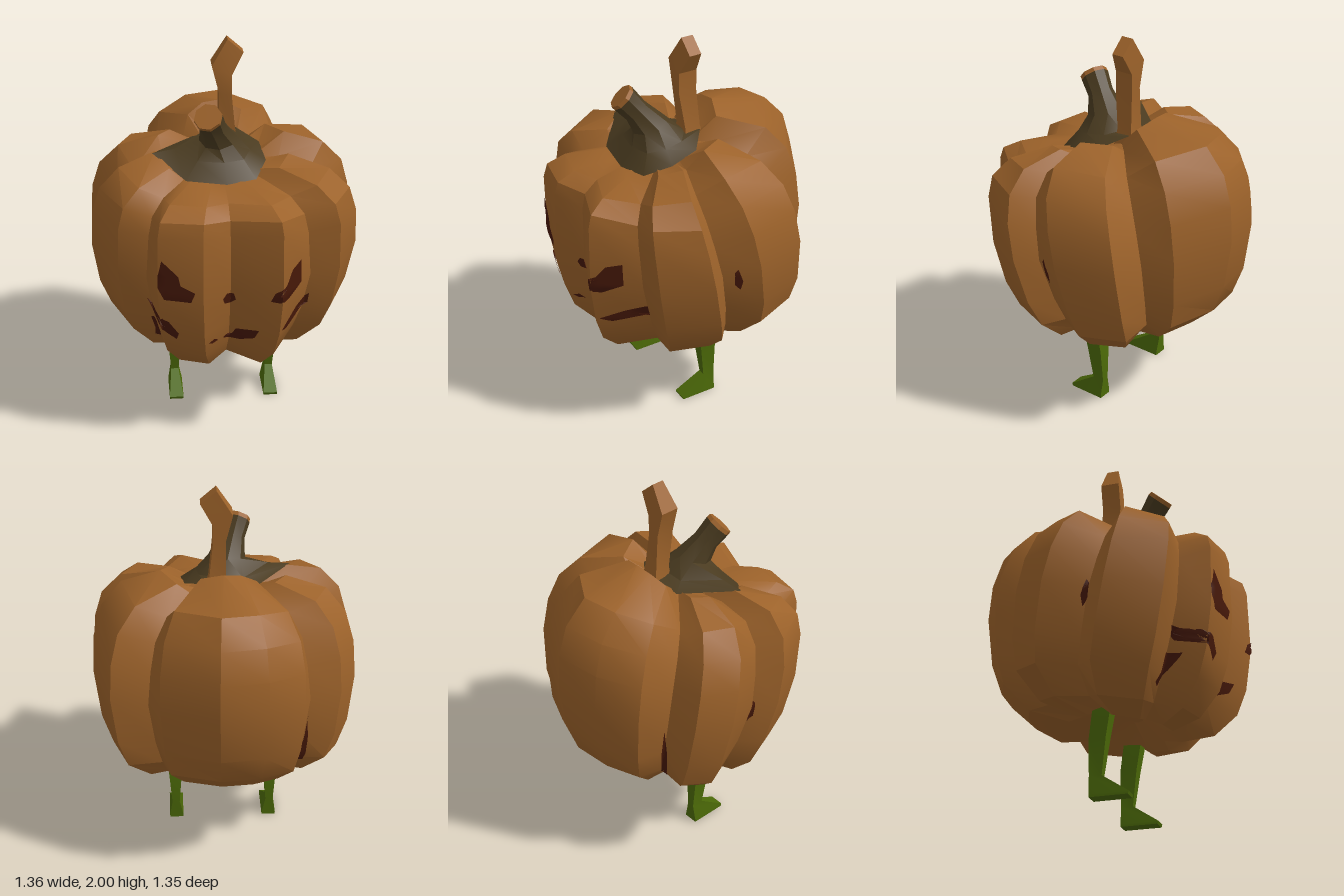
import * as THREE from 'three';
import { toCreasedNormals } from 'three/addons/utils/BufferGeometryUtils.js';

const V = (x, y, z) => new THREE.Vector3(x, y, z);
const mat = (name, color, side = THREE.FrontSide) => {
  const m = new THREE.MeshStandardMaterial({ color, side });
  m.name = name;
  return m;
};

// Joins loops (clockwise from above, bottom to top) into a skin with fan caps.
function skin(loops, capBottom, capTop, crease = 0.5) {
  const pos = [];
  const tri = (...ps) => ps.forEach((p) => pos.push(p.x, p.y, p.z));
  const n = loops[0].length;
  const mid = (l) => l.reduce((s, p) => s.add(p), V(0, 0, 0)).divideScalar(n);
  for (let i = 0; i < loops.length - 1; i++) {
    for (let j = 0; j < n; j++) {
      const k = (j + 1) % n;
      const a = loops[i][j], b = loops[i][k], c = loops[i + 1][k], d = loops[i + 1][j];
      tri(a, d, c);
      tri(a, c, b);
    }
  }
  const first = loops[0], last = loops[loops.length - 1];
  const m0 = mid(first), m1 = mid(last);
  for (let j = 0; j < n; j++) {
    const k = (j + 1) % n;
    if (capBottom) tri(m0, first[j], first[k]);
    if (capTop) tri(m1, last[k], last[j]);
  }
  const g = new THREE.BufferGeometry();
  g.setAttribute('position', new THREE.Float32BufferAttribute(pos, 3));
  return toCreasedNormals(g, crease);
}

// Four-sided limb from rows: left x, left y, right x, right y, back z, front z.
const limb = (rows) => skin(rows.map(([xl, yl, xr, yr, z0, z1]) =>
  [V(xl, yl, z0), V(xr, yr, z0), V(xr, yr, z1), V(xl, yl, z1)]), true, true, 0.3);

// Widest outline of the ribs: x, z, top height, 1 for a groove.
const OUTLINE = [
  [-0.39, -0.52, 1.55, 0], [-0.2, -0.64, 1.6, 0], [0.04, -0.675, 1.61, 0], [0.33, -0.53, 1.57, 0],
  [0.39, -0.37, 1.45, 1], [0.58, -0.355, 1.51, 0], [0.675, -0.05, 1.52, 0],
  [0.59, 0.13, 1.42, 1], [0.68, 0.22, 1.45, 0], [0.56, 0.46, 1.42, 0],
  [0.41, 0.475, 1.36, 1], [0.25, 0.67, 1.37, 0], [0, 0.58, 1.36, 1], [-0.14, 0.66, 1.37, 0],
  [-0.36, 0.61, 1.38, 0], [-0.41, 0.46, 1.37, 1], [-0.55, 0.43, 1.43, 0], [-0.68, 0.17, 1.48, 0],
  [-0.6, 0.07, 1.42, 1], [-0.68, -0.15, 1.5, 0], [-0.59, -0.32, 1.5, 0], [-0.43, -0.35, 1.45, 1],
];
// Rib profile between the hollows: spread from the axis, relative height.
const PROFILE = [
  [0.42, 0], [0.68, 0.04], [0.87, 0.16], [0.95, 0.3], [1, 0.53],
  [0.985, 0.7], [0.92, 0.84], [0.77, 0.945],
];

function bodyGeometry() {
  const at = (x, y, z, s) => {
    // Side ribs lean back towards the bottom
    const lean = 0.22 * (y - 1.05) * (1 - (z / 0.68) ** 2) * Math.min(1, s * s * 1.5);
    return V(-0.02 + (x + 0.02) * s, y, 0.08 + (z - 0.08) * s + lean);
  };
  const loops = PROFILE.map(([s, h]) => OUTLINE.map(([x, z, top, groove]) => {
    const bottom = 0.415 - 0.06 * z + groove * 0.025;
    const front = Math.max(0, z) ** 2;
    const full = h > 0.6 ? 1 - (1 - h) * (1 - 1.2 * front) : h;
    const spread = s - (s < 0.99 ? groove * 0.025 : 0) + (h > 0.8 ? 0.07 * front : 0);
    return at(x, bottom + (top - bottom) * full, z, spread);
  }));
  // Underside hollow, top rim and top hollow
  loops.unshift(OUTLINE.map(([x, , z]) => x).map((x, i) => at(x, 0.5, OUTLINE[i][1], 0.14)));
  loops.push(OUTLINE.map(([x, z, top]) => at(x, top, z, 0.49 + 0.2 * Math.min(0, z))));
  loops.push(OUTLINE.map(([x, z]) => at(x, 1.42 - 0.08 * z, z, 0.28 + 0.13 * Math.min(0, z))));
  return skin(loops, true, true);
}

export function createModel() {
  const root = new THREE.Group();
  const rind = mat('rind brown', 0x9c622a);
  const bark = mat('dark stem', 0x4a3b20);
  const leaf = mat('leg green', 0x4c6a08);
  const carve = mat('carved dark red', 0x461808, THREE.DoubleSide);
  const add = (name, geometry, material) => {
    const m = new THREE.Mesh(geometry, material);
    m.name = name;
    root.add(m);
    return m;
  };

  const body = add('body', bodyGeometry(), rind);

  // Finds the body surface along a ray
  const probe = new THREE.Mesh(body.geometry, new THREE.MeshBasicMaterial({ side: THREE.DoubleSide }));
  const caster = new THREE.Raycaster();
  const hit = (from, dir) => {
    caster.set(from, dir);
    const h = caster.intersectObject(probe)[0];
    return h ? h.point.addScaledVector(dir, -0.007) : from.clone().addScaledVector(dir, 1.5);
  };

  // Flared stem that leans forward, with a pale cut end
  const base = [[-0.36, 0.18], [-0.15, -0.06], [0.08, -0.07], [0.19, 0.02],
    [0.21, 0.17], [0.15, 0.3], [0, 0.345], [-0.2, 0.32]]
    .map(([x, z]) => hit(V(x, 3, z), V(0, -1, 0)));
  const ring = (c, normal, r) => {
    const q = new THREE.Quaternion().setFromUnitVectors(V(0, 1, 0), normal.normalize());
    return base.map((_, i) => {
      const a = (i / base.length) * Math.PI * 2;
      return V(-Math.cos(a) * r, 0, -Math.sin(a) * r).applyQuaternion(q).add(c);
    });
  };
  const shoulder = base.map((p) => V(-0.02 + (p.x + 0.02) * 0.66, p.y * 0.35 + 0.65 * 1.5, 0.14 + (p.z - 0.14) * 0.66));
  const end = ring(V(-0.085, 1.69, 0.275), V(-0.25, 0.65, 0.6), 0.072);
  add('stem', skin([base, shoulder,
    ring(V(-0.03, 1.54, 0.16), V(-0.1, 1, 0.3), 0.095),
    ring(V(-0.06, 1.62, 0.22), V(-0.2, 0.8, 0.55), 0.066), end], false, false), bark);
  add('stemEnd', skin([end, ring(V(-0.09, 1.705, 0.29), V(-0.25, 0.65, 0.6), 0.07)], false, true), rind);

  // Twisted stalk behind the stem
  add('stalk', limb([
    [-0.04, 1.4, 0.1, 1.4, -0.1, 0.02],
    [-0.015, 1.53, 0.07, 1.52, -0.075, 0.01],
    [-0.015, 1.73, 0.05, 1.71, -0.065, 0.035],
    [-0.05, 1.87, 0.05, 1.82, -0.065, 0.035],
    [0.03, 2, 0.11, 1.93, -0.055, 0.01],
  ]), rind);

  // Legs with wedge feet
  for (const side of [1, -1]) {
    const rows = [
      [0.22, 0.295, 0, -0.04, 0.155], [0.22, 0.295, 0.015, -0.04, 0.16],
      [0.24, 0.28, 0.11, -0.045, 0.02], [0.225, 0.295, 0.3, -0.042, 0.045],
      [0.22, 0.305, 0.5, -0.015, 0.08],
    ].map(([a, b, y, z0, z1]) => {
      const [l, r] = side > 0 ? [a, b] : [-b, -a];
      return [l, y, r, y, z0, z1];
    });
    add(side > 0 ? 'leftLeg' : 'rightLeg', limb(rows), leaf);
  }

  // Thin marking draped on the rind; place() maps the flat outline to a ray start
  const marking = (name, outline, place, dir) => {
    const pts = [];
    outline.forEach(([u, v], i) => {
      const [u2, v2] = outline[(i + 1) % outline.length];
      for (let k = 0; k < 4; k++) pts.push([u + (u2 - u) * k / 4, v + (v2 - v) * k / 4]);
    });
    const cu = pts.reduce((s, p) => s + p[0], 0) / pts.length;
    const cv = pts.reduce((s, p) => s + p[1], 0) / pts.length;
    const loops = [1, 0.75, 0.5, 0.25].map((f) => pts.map(([u, v]) =>
      hit(place(cu + (u - cu) * f, cv + (v - cv) * f), dir)));
    add(name, skin(loops, false, true), carve);
  };
  const face = {
    leftEye: [[0.19, 0.87], [0.21, 0.92], [0.27, 0.96], [0.3, 1.02], [0.35, 1.04], [0.355, 0.92], [0.28, 0.865]],
    rightEye: [[-0.36, 0.95], [-0.36, 1.01], [-0.34, 1.1], [-0.26, 1.02], [-0.25, 0.97], [-0.18, 0.935], [-0.2, 0.88], [-0.33, 0.885]],
    nose: [[-0.04, 0.86], [-0.02, 0.89], [0.015, 0.885], [0.025, 0.85], [0, 0.825], [-0.03, 0.83]],
    mouthMiddle: [[-0.035, 0.6], [-0.02, 0.615], [0.01, 0.615], [0.03, 0.66], [0.14, 0.675], [0.12, 0.62], [0.05, 0.588], [0, 0.585]],
    mouthDot: [[-0.11, 0.615], [-0.08, 0.625], [-0.06, 0.605], [-0.09, 0.6]],
    mouthLeft: [[0.25, 0.69], [0.32, 0.74], [0.41, 0.79], [0.405, 0.73], [0.28, 0.67]],
    mouthRight: [[-0.41, 0.79], [-0.38, 0.72], [-0.33, 0.69], [-0.27, 0.64], [-0.26, 0.68], [-0.31, 0.75]],
    mouthDrip: [[-0.39, 0.66], [-0.36, 0.66], [-0.35, 0.58], [-0.34, 0.51], [-0.37, 0.52], [-0.37, 0.58]],
  };
  for (const [name, outline] of Object.entries(face)) {
    marking(name, outline, (u, v) => V(u, v, 2), V(0, 0, -1));
  }
  for (const side of [1, -1]) {
    marking(side > 0 ? 'leftSlit' : 'rightSlit', [[0.06, 0.98], [0.045, 1], [0.015, 0.92], [0.02, 0.865], [0.05, 0.9]],
      (u, v) => V(2 * side, v, u), V(-side, 0, 0));
  }
  // Narrow slit in the rear groove
  const inward = V(0.75, 0, 0.66).normalize();
  marking('rearSlit', [[-0.015, 0.6], [-0.012, 0.78], [0, 0.92], [0.014, 0.76], [0.016, 0.6]],
    (u, v) => V(-0.43 + 0.66 * u, v, -0.39 - 0.75 * u).addScaledVector(inward, -1.5), inward);
  return root;
}
